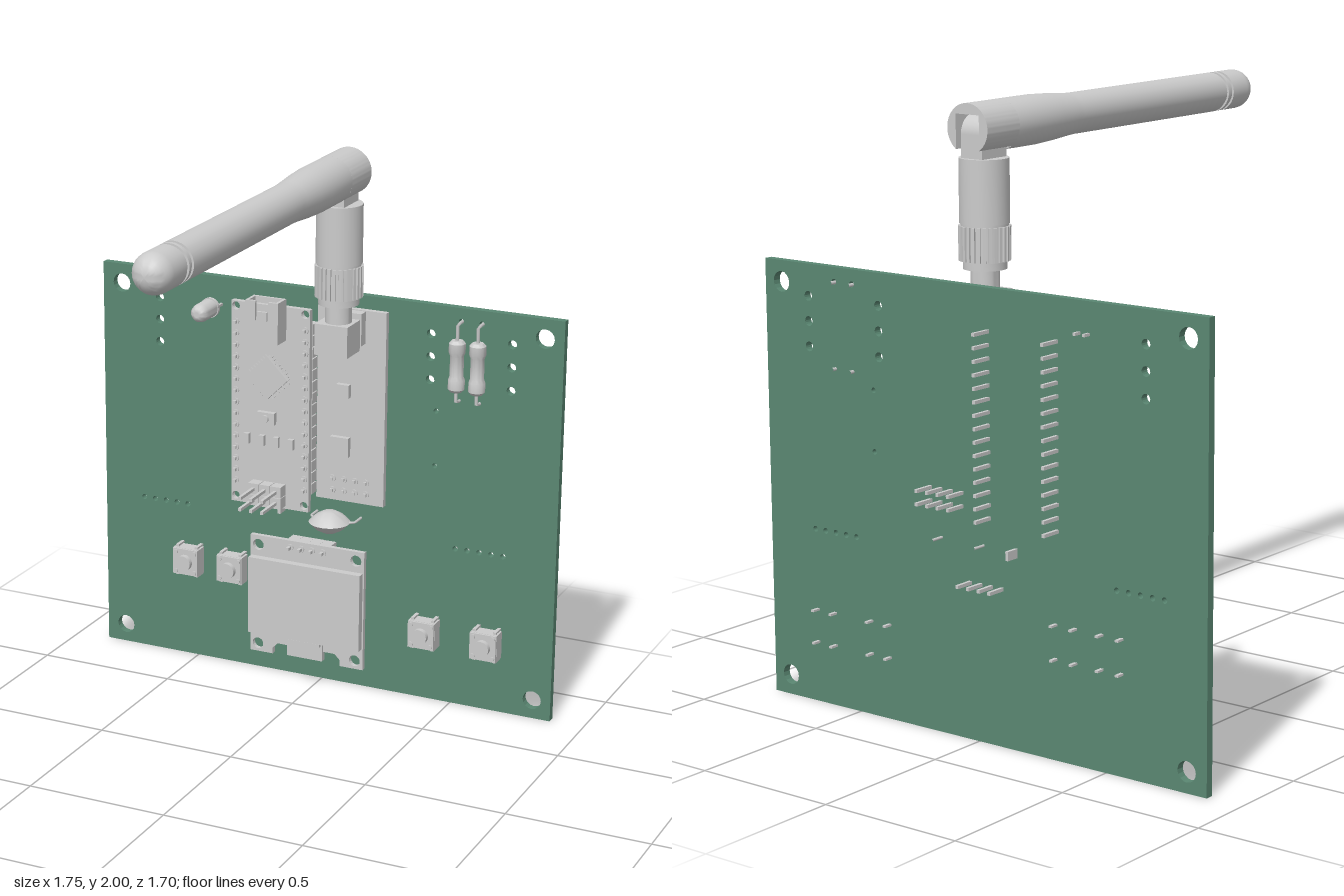
import * as THREE from 'three';
import { toCreasedNormals } from 'three/addons/utils/BufferGeometryUtils.js';

const grey = new THREE.MeshStandardMaterial({ color: 0xcccccc });
const green = new THREE.MeshStandardMaterial({ color: 0x5a8772 });
const FACE = -0.755, BACK = -0.783; // front and back of the main board

function add(parent, name, geo, x = 0, y = 0, z = 0, mat = grey) {
  const m = new THREE.Mesh(geo, mat);
  m.name = name;
  m.position.set(x, y, z);
  parent.add(m);
  return m;
}
function group(parent, name, x = 0, y = 0, z = 0) {
  const g = new THREE.Group();
  g.name = name;
  g.position.set(x, y, z);
  parent.add(g);
  return g;
}
// box spanning z0..z1
const box = (p, name, x, y, w, h, z0, z1) =>
  add(p, name, new THREE.BoxGeometry(w, h, Math.abs(z1 - z0)), x, y, (z0 + z1) / 2);
// round part along z spanning z0..z1
const rod = (p, name, x, y, r, z0, z1, sides = 12) =>
  add(p, name, new THREE.CylinderGeometry(r, r, Math.abs(z1 - z0), sides).rotateX(Math.PI / 2), x, y, (z0 + z1) / 2);
const lathe = (pts, sides = 32) =>
  toCreasedNormals(new THREE.LatheGeometry(pts.map(([r, y]) => new THREE.Vector2(r, y)), sides), 0.6);
const wire = (p, name, pts, r = 0.006) => {
  const path = new THREE.CurvePath();
  const v = pts.map(a => new THREE.Vector3(...a));
  for (let i = 1; i < v.length; i++) path.add(new THREE.LineCurve3(v[i - 1], v[i]));
  return add(p, name, new THREE.TubeGeometry(path, 16, r, 6));
};
// flat plate from an outline, with round holes [x, y, r]
function plate(p, name, outline, holes, z0, z1, mat) {
  const s = new THREE.Shape(outline.map(a => new THREE.Vector2(...a)));
  for (const [x, y, r] of holes) s.holes.push(new THREE.Path().absarc(x, y, r, 0, Math.PI * 2, true));
  const geo = new THREE.ExtrudeGeometry(s, { depth: z1 - z0, bevelEnabled: false, curveSegments: 8 });
  return add(p, name, geo, 0, 0, z0, mat);
}
const rect = (x0, y0, x1, y1) => [[x0, y0], [x1, y0], [x1, y1], [x0, y1]];

function mainBoard(root) {
  const holes = [];
  for (const x of [-0.803, 0.808]) for (const y of [0.068, 1.39]) holes.push([x, y, 0.034]);
  for (const x of [-0.65, 0.395, 0.692]) for (const y of [1.19, 1.273, 1.355]) holes.push([x, y, 0.016]);
  for (const y of [0.88, 1.08]) holes.push([0.42, y, 0.009]);
  for (const x0 of [-0.72, 0.505]) for (let i = 0; i < 5; i++) holes.push([x0 + i * 0.0445, 0.586, 0.01]);
  for (const x of [0.505, 0.58]) holes.push([x, 1.412, 0.01]);
  plate(root, 'mainBoard', rect(-0.877, 0, 0.877, 1.46), holes, BACK, FACE, green);
}

function controllerModule(root) {
  const g = group(root, 'controllerModule');
  const holes = [];
  for (const x of [-0.317, -0.05]) for (const y of [0.677, 1.382]) holes.push([x, y, 0.015]);
  plate(g, 'controllerBoard', rect(-0.335, 0.655, -0.032, 1.4), holes, -0.713, -0.692);
  // two pin rows
  for (const x of [-0.317, -0.05]) for (let i = 0; i < 15; i++) {
    const y = 0.735 + i * 0.0421;
    box(g, 'headerBlock', x, y, 0.04, 0.038, FACE, -0.713);
    box(g, 'headerPin', x, y, 0.011, 0.011, -0.855, -0.675);
    rod(g, 'solderPad', x, y, 0.013, -0.692, -0.687);
  }
  // USB socket: open shell with an inner tongue
  const usb = group(g, 'usbSocket');
  box(usb, 'socketBack', -0.185, 1.32, 0.125, 0.08, -0.692, -0.622);
  box(usb, 'socketFloor', -0.185, 1.395, 0.125, 0.07, -0.692, -0.682);
  for (const s of [-1, 1]) {
    box(usb, 'socketSide', -0.185 + s * 0.057, 1.395, 0.011, 0.07, -0.692, -0.622);
    box(usb, 'socketTop', -0.185 + s * 0.043, 1.395, 0.038, 0.07, -0.632, -0.622);
  }
  box(usb, 'socketTop', -0.185, 1.375, 0.04, 0.035, -0.632, -0.622);
  box(usb, 'socketTongue', -0.185, 1.385, 0.08, 0.055, -0.665, -0.65);
  // processor turned by 45 degrees, with legs
  const chip = group(g, 'processor', -0.185, 1.14, 0);
  chip.rotation.z = Math.PI / 4;
  box(chip, 'processorBody', 0, 0, 0.112, 0.112, -0.692, -0.668);
  for (let i = 0; i < 8; i++) {
    const t = -0.045 + i * 0.0129;
    box(chip, 'processorLeg', t, 0, 0.006, 0.134, -0.688, -0.68);
    box(chip, 'processorLeg', 0, t, 0.134, 0.006, -0.688, -0.68);
  }
  box(g, 'resetButton', -0.193, 0.988, 0.068, 0.044, -0.692, -0.672);
  rod(g, 'resetPlunger', -0.193, 0.988, 0.014, -0.672, -0.663);
  for (const x of [-0.27, -0.211, -0.155, -0.098]) {
    box(g, 'indicator', x, 0.902, 0.02, 0.038, -0.692, -0.677);
  }
  // programming header, 3 x 2
  for (const x of [-0.228, -0.185, -0.142]) for (const y of [0.685, 0.727]) {
    box(g, 'programmingBlock', x, y, 0.041, 0.04, -0.692, -0.65);
    box(g, 'programmingPin', x, y, 0.011, 0.011, -0.73, -0.537);
  }
}

function radioModule(root) {
  const g = group(root, 'radioModule');
  box(g, 'radioBoard', 0.127, 1.073, 0.257, 0.705, -0.713, -0.692);
  box(g, 'radioChipSmall', 0.102, 1.13, 0.048, 0.048, -0.692, -0.672);
  box(g, 'radioChipLarge', 0.092, 0.925, 0.07, 0.07, -0.692, -0.672);
  for (let i = 0; i < 4; i++) for (const y of [0.757, 0.8]) {
    const x = 0.06 + i * 0.0425;
    box(g, 'radioBlock', x, y, 0.042, 0.042, FACE, -0.713);
    box(g, 'radioPin', x, y, 0.011, 0.011, -0.855, -0.68);
    rod(g, 'radioPad', x, y, 0.013, -0.692, -0.687);
  }
  // right-angle antenna connector
  box(g, 'connectorFlange', 0.123, 1.365, 0.11, 0.115, -0.692, -0.655);
  rod(g, 'connectorStub', 0.123, 1.357, 0.045, -0.66, -0.62, 24);
  box(g, 'connectorElbow', 0.123, 1.355, 0.122, 0.11, -0.63, -0.522);
}

function antenna(root) {
  const g = group(root, 'antenna', 0.125, 0, -0.58);
  add(g, 'antennaCoupling', lathe([[0, 1.4], [0.046, 1.4], [0.046, 1.475], [0.07, 1.475], [0.07, 1.5], [0.076, 1.5],
    [0.076, 1.62], [0.08, 1.62], [0.08, 1.825], [0, 1.825]]));
  for (let i = 0; i < 28; i++) { // knurled grip
    const a = i / 28 * Math.PI * 2;
    add(g, 'knurlRib', new THREE.BoxGeometry(0.01, 0.11, 0.012), Math.sin(a) * 0.077, 1.557, Math.cos(a) * 0.077).rotation.y = a;
  }
  // hinge tongue standing in the slotted end of the whip
  box(g, 'hingeTongue', 0, 1.86, 0.084, 0.08, -0.06, 0.06);
  add(g, 'hingeBarrel', new THREE.CylinderGeometry(0.06, 0.06, 0.084, 24).rotateZ(Math.PI / 2), 0, 1.9, 0);

  const whip = group(g, 'antennaWhip', 0, 1.92, 0);
  whip.rotation.y = 0.006;
  const pts = [[0, 0.08], [0.08, 0.08], [0.08, 0.24], [0.076, 0.32], [0.069, 0.41], [0.067, 0.44], [0.067, 1.235],
    [0.06, 1.235], [0.06, 1.25], [0.067, 1.25], [0.067, 1.265], [0.06, 1.265], [0.06, 1.28], [0.067, 1.28]];
  for (let i = 0; i <= 8; i++) {
    const a = i / 8 * Math.PI / 2;
    pts.push([0.067 * Math.cos(a), 1.363 + 0.067 * Math.sin(a)]);
  }
  pts[pts.length - 1][0] = 0;
  add(whip, 'whipBody', lathe(pts).rotateX(Math.PI / 2));
  // fork: round section with a slot open below and behind
  const w = 0.046, a = Math.asin(w / 0.08);
  const fork = new THREE.Shape();
  fork.absarc(0, 0, 0.08, -Math.PI / 2 + a, Math.PI * 1.5 - a, false);
  fork.lineTo(-w, 0.045);
  fork.lineTo(w, 0.045);
  fork.closePath();
  const geo = new THREE.ExtrudeGeometry(fork, { depth: 0.16, bevelEnabled: false, curveSegments: 32 });
  add(whip, 'whipFork', toCreasedNormals(geo, 0.6), 0, 0, -0.08);
}

function display(root) {
  const g = group(root, 'display');
  const holes = [];
  for (const x of [-0.224, 0.158]) for (const y of [0.123, 0.505]) holes.push([x, y, 0.021]);
  for (let i = 0; i < 4; i++) {
    const x = -0.098 + i * 0.0425;
    box(g, 'displayBlock', x, 0.515, 0.042, 0.042, FACE, -0.703);
    box(g, 'displayPin', x, 0.515, 0.011, 0.011, -0.85, -0.66);
    rod(g, 'displayPad', x, 0.515, 0.013, -0.685, -0.68);
  }
  plate(g, 'displayBoard', [[-0.255, 0.092], [-0.165, 0.092], [-0.165, 0.115], [-0.145, 0.135], [0.08, 0.135],
    [0.1, 0.115], [0.1, 0.092], [0.19, 0.092], [0.19, 0.54], [-0.255, 0.54]], holes, -0.703, -0.685);
  box(g, 'displayGlass', -0.033, 0.317, 0.436, 0.29, -0.685, -0.657);
  box(g, 'ribbon', -0.035, 0.135, 0.138, 0.07, -0.7, -0.677);
  box(g, 'ribbonFold', -0.035, 0.162, 0.125, 0.012, -0.69, -0.665);
}

function pushButton(root, x, y) {
  const g = group(root, 'pushButton', x, y, 0);
  box(g, 'buttonBody', 0, 0, 0.1, 0.1, FACE + 0.006, -0.7);
  box(g, 'buttonPlate', 0, 0, 0.098, 0.098, -0.7, -0.692);
  rod(g, 'plunger', 0, 0, 0.029, -0.692, -0.673, 24);
  for (const sx of [-1, 1]) for (const sy of [-1, 1]) {
    rod(g, 'rivet', sx * 0.037, sy * 0.037, 0.009, -0.692, -0.687);
    box(g, 'buttonLeg', sx * 0.038, sy * 0.055, 0.012, 0.007, -0.812, -0.71);
    box(g, 'buttonLegTop', sx * 0.038, sy * 0.05, 0.012, 0.016, -0.715, -0.708);
  }
}

function resistor(root, x) {
  const g = group(root, 'resistor', x, 0, 0);
  add(g, 'resistorBody', lathe([[0, 1.172], [0.02, 1.172], [0.029, 1.182], [0.029, 1.215], [0.024, 1.228],
    [0.024, 1.3], [0.029, 1.313], [0.029, 1.345], [0.02, 1.355], [0, 1.355]], 20), 0, 0, -0.722);
  wire(g, 'resistorLead', [[0, 1.13, -0.8], [0, 1.13, -0.722], [0, 1.41, -0.722], [0, 1.41, -0.8]]);
}

export function createModel() {
  const root = new THREE.Group();
  root.name = 'circuitBoard';
  mainBoard(root);
  controllerModule(root);
  radioModule(root);
  antenna(root);
  display(root);
  for (const [x, y] of [[-0.524, 0.383], [-0.347, 0.383], [0.407, 0.262], [0.641, 0.26]]) pushButton(root, x, y);
  for (const x of [0.505, 0.58]) resistor(root, x);
  // domed lamp facing forward
  const lamp = group(root, 'lamp', -0.421, 1.36, 0);
  add(lamp, 'lampBody', lathe([[0, -0.703], [0.036, -0.703], [0.036, -0.69], [0.033, -0.69], [0.033, -0.622],
    [0.03, -0.607], [0.021, -0.595], [0.01, -0.59], [0, -0.589]], 24).rotateX(Math.PI / 2));
  for (const x of [-0.018, 0.018]) box(lamp, 'lampLead', x, 0, 0.009, 0.009, -0.81, -0.7);
  // lens-shaped disc capacitor
  const cap = group(root, 'discCapacitor', 0.06, 0.643, -0.672);
  add(cap, 'capacitorBody', lathe([[0, -0.041], [0.025, -0.038], [0.05, -0.024], [0.074, 0],
    [0.05, 0.024], [0.025, 0.038], [0, 0.041]]));
  for (const s of [-1, 1]) wire(cap, 'capacitorLead', [[s * 0.05, 0, 0], [s * 0.085, 0, -0.03], [s * 0.085, 0, -0.16]], 0.005);
  box(root, 'loosePin', -0.155, 0.64, 0.011, 0.03, -0.83, -0.71);
  return root;
}
